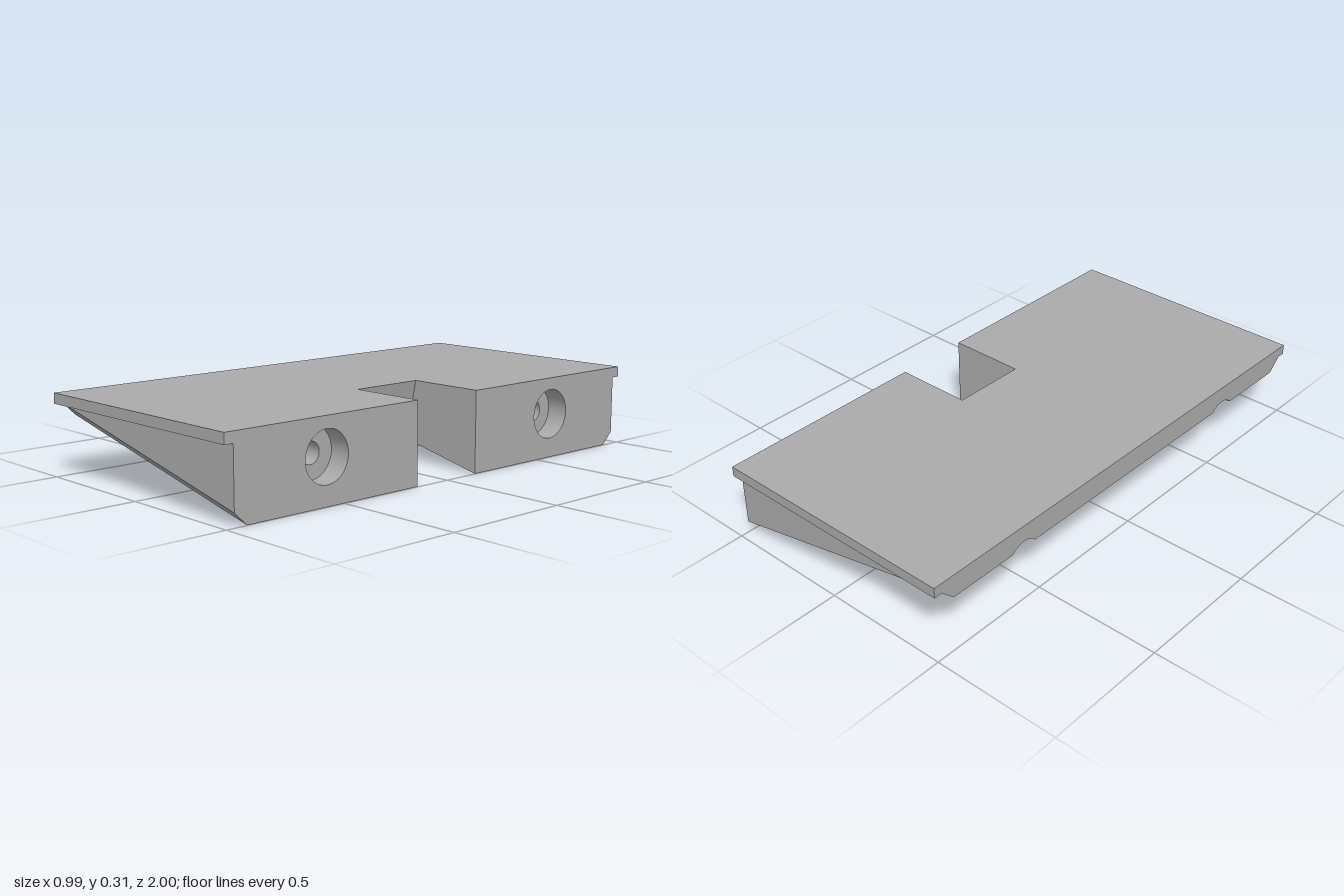
import * as THREE from 'three';

const L = -0.497, R = 0.497;           // the two ends along x
const TOP = 0.31, RISE = 0.22;         // deck height, underside height at the thin end
const NZ = 0.15, NTOP = 0.19, NBOT = 0.14; // notch half width and its slanted back wall
const CY = 0.17, CZ = 0.575;           // bore axis
const R_FRONT = 0.095, R_SHAFT = 0.04, R_REAR = 0.075;
const X_FLOOR = R - 0.085, X_REAR = 0.2;

const underside = x => RISE * (R - x) / (R - L);
const undersideX = y => R - y * (R - L) / RISE;

// half cross-section [z, y] from the underside up round the lip
const profile = x => {
  const b = underside(x);
  return [[0.915, b], [0.965, b + 0.048], [0.965, 0.27], [1, 0.27], [1, TOP]];
};

const shapeOf = pts => new THREE.Shape(pts.map(p => new THREE.Vector2(p[0], p[1])));

// flat face: a 2D shape placed in space by a rule and turned to face "out"
function face(shape, place, out) {
  const g = new THREE.ShapeGeometry(shape, 48);
  const p = g.attributes.position;
  for (let i = 0; i < p.count; i++) p.setXYZ(i, ...place(p.getX(i), p.getY(i)));
  g.computeVertexNormals();
  const n = new THREE.Vector3().fromBufferAttribute(g.attributes.normal, 0);
  if (n.dot(new THREE.Vector3(...out)) < 0) {
    g.index.array.reverse();
    g.computeVertexNormals();
  }
  return g;
}

// inward-facing round wall along x; start(y) trims it against the underside
function bore(zc, r, start, end) {
  const N = 96, pos = [], nor = [], idx = [];
  for (let i = 0; i <= N; i++) {
    const a = i / N * Math.PI * 2, s = Math.sin(a), c = Math.cos(a);
    const y = CY + r * s, z = zc + r * c;
    pos.push(start(y), y, z, end, y, z);
    nor.push(0, -s, -c, 0, -s, -c);
    if (i < N) {
      const k = i * 2;
      idx.push(k, k + 2, k + 1, k + 2, k + 3, k + 1);
    }
  }
  const g = new THREE.BufferGeometry();
  g.setAttribute('position', new THREE.Float32BufferAttribute(pos, 3));
  g.setAttribute('normal', new THREE.Float32BufferAttribute(nor, 3));
  g.setIndex(idx);
  return g;
}

// points [z, y] of the rear bore from one angle to another
function arc(zc, from, to) {
  const pts = [];
  for (let i = 0; i <= 48; i++) {
    const a = from + (to - from) * i / 48;
    pts.push([zc + R_REAR * Math.cos(a), CY + R_REAR * Math.sin(a)]);
  }
  return pts;
}

const circle = (u, v, r) => new THREE.Path().absarc(u, v, r, 0, Math.PI * 2, true);

export function createModel() {
  const group = new THREE.Group();
  const grey = new THREE.MeshStandardMaterial({ color: 0xaaaaaa });
  const add = (name, geometry) => {
    const m = new THREE.Mesh(geometry, grey);
    m.name = name;
    group.add(m);
  };

  // deck with the notch
  add('deck', face(shapeOf([[L, -1], [R, -1], [R, -NZ], [NTOP, -NZ], [NTOP, NZ], [R, NZ], [R, 1], [L, 1]]),
    (x, z) => [x, TOP, z], [0, 1, 0]));

  // sloping underside, with long grooves where the rear bores break through
  const a0 = Math.asin((RISE - CY) / R_REAR);
  const groove = zc => arc(zc, Math.PI - a0, Math.PI * 2 + a0).map(([z, y]) => [undersideX(y), z]);
  add('underside', face(shapeOf([
    [L, -0.915], ...groove(-CZ), ...groove(CZ), [L, 0.915],
    [R, 0.915], [R, NZ], [NBOT, NZ], [NBOT, -NZ], [R, -NZ], [R, -0.915],
  ]), (x, z) => [x, underside(x), z], [0, -1, 0]));

  // thin end, cut by the tops of the rear bores
  const thin = profile(L);
  add('thinEnd', face(shapeOf([
    ...thin.map(([z, y]) => [-z, y]).reverse(),
    ...arc(-CZ, Math.PI - a0, a0), ...arc(CZ, Math.PI - a0, a0), ...thin,
  ]), (z, y) => [L, y, z], [-1, 0, 0]));

  // slanted back wall of the notch
  const nb = underside(NBOT);
  add('notchBack', face(shapeOf([[-NZ, nb], [NZ, nb], [NZ, TOP], [-NZ, TOP]]),
    (z, y) => [NBOT + (NTOP - NBOT) * (y - nb) / (TOP - nb), y, z], [1, 0, 0]));

  for (const s of [1, -1]) {
    const side = s > 0 ? 'front' : 'back';

    // thick end with the bolt recess opening
    const end = shapeOf([[NZ, 0], ...profile(R), [NZ, TOP]]);
    end.holes.push(circle(CZ, CY, R_FRONT));
    add(side + 'ThickEnd', face(end, (z, y) => [R, y, s * z], [1, 0, 0]));

    // notch side wall
    add(side + 'NotchWall', face(shapeOf([[NBOT, nb], [R, 0], [R, TOP], [NTOP, TOP]]),
      (x, y) => [x, y, s * NZ], [0, 0, -s]));

    // chamfer, side wall, lip underside and lip edge
    const a = profile(L), b = profile(R);
    ['Chamfer', 'Wall', 'LipUnderside', 'LipEdge'].forEach((part, i) => {
      const mix = (k, u, v) => THREE.MathUtils.lerp(
        THREE.MathUtils.lerp(a[i][k], b[i][k], u), THREE.MathUtils.lerp(a[i + 1][k], b[i + 1][k], u), v);
      add(side + part, face(shapeOf([[0, 0], [1, 0], [1, 1], [0, 1]]),
        (u, v) => [THREE.MathUtils.lerp(L, R, u), mix(1, u, v), s * mix(0, u, v)],
        i === 2 ? [0, -1, 0] : [0, 0, s]));
    });

    // bolt recess, shaft and open rear bore
    const zc = s * CZ;
    const ring = (r, x, out) => {
      const sh = new THREE.Shape().absarc(zc, CY, r, 0, Math.PI * 2);
      sh.holes.push(circle(zc, CY, R_SHAFT));
      return face(sh, (z, y) => [x, y, z], [out, 0, 0]);
    };
    add(side + 'Recess', bore(zc, R_FRONT, () => X_FLOOR, R));
    add(side + 'RecessFloor', ring(R_FRONT, X_FLOOR, 1));
    add(side + 'Shaft', bore(zc, R_SHAFT, () => X_REAR, X_FLOOR));
    add(side + 'RearBoreFloor', ring(R_REAR, X_REAR, -1));
    add(side + 'RearBore', bore(zc, R_REAR, y => Math.max(L, undersideX(y)), X_REAR));
  }
  return group;
}
